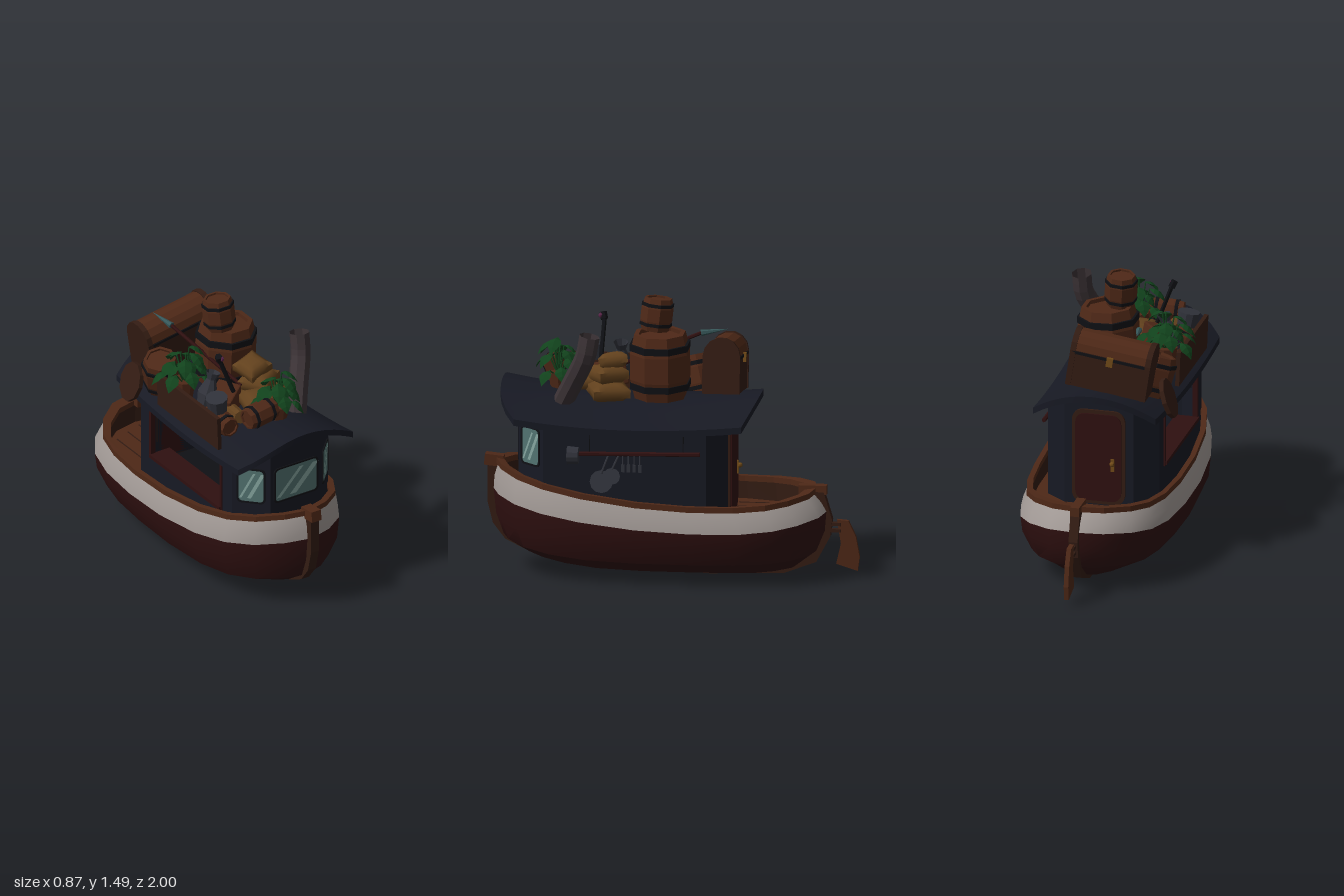
import * as THREE from 'three';
import { toCreasedNormals } from 'three/addons/utils/BufferGeometryUtils.js';
import { RoundedBoxGeometry } from 'three/addons/geometries/RoundedBoxGeometry.js';

const C = { navy: 0x171923, dark: 0x0f1014, red: 0x2f1010, white: 0xa09894, wood: 0x4e2817, brown: 0x331c13, glass: 0x527370,
  shine: 0x86a6a0, leaf: 0x11421c, sack: 0x62411d, iron: 0x30323a, pipe: 0x3c3336, gold: 0x704a18, teal: 0x365658, pink: 0x5a2448 };
const V = (x, y, z) => new THREE.Vector3(x, y, z);

function add(parent, name, geo, color, pos = [0, 0, 0], rot = [0, 0, 0], flat = true) {
  const m = new THREE.Mesh(geo, new THREE.MeshStandardMaterial({ color, flatShading: flat, side: THREE.DoubleSide }));
  m.name = name;
  m.position.set(...pos);
  m.rotation.set(...rot);
  parent.add(m);
  return m;
}
function group(parent, name, pos = [0, 0, 0], rot = [0, 0, 0]) {
  const g = new THREE.Group();
  g.name = name;
  g.position.set(...pos);
  g.rotation.set(...rot);
  parent.add(g);
  return g;
}
// skin over a list of equally long rings of points
function loft(rings, closed = true, crease = 0.6) {
  const n = rings[0].length, idx = [];
  for (let j = 0; j < rings.length - 1; j++) for (let i = 0; i < (closed ? n : n - 1); i++) {
    const a = j * n + i, b = j * n + (i + 1) % n;
    idx.push(a, b, b + n, a, b + n, a + n);
  }
  const g = new THREE.BufferGeometry().setFromPoints(rings.flat());
  g.setIndex(idx);
  return toCreasedNormals(g, crease);
}
// solid with its outline drawn in (z, y), centred on x
function sideExtrude(parent, name, pts, depth, x, color, hole) {
  const s = new THREE.Shape(pts.map(p => new THREE.Vector2(...p)));
  if (hole) s.holes.push(new THREE.Path(hole.map(p => new THREE.Vector2(...p))));
  return add(parent, name, new THREE.ExtrudeGeometry(s, { depth, bevelEnabled: false }), color, [x + depth / 2, 0, 0], [0, -Math.PI / 2, 0]);
}
function rod(parent, name, a, b, r, color, r2 = r) {
  const d = b.clone().sub(a);
  const m = add(parent, name, new THREE.CylinderGeometry(r2, r, d.length(), 6), color, a.clone().add(b).multiplyScalar(0.5).toArray());
  m.quaternion.setFromUnitVectors(V(0, 1, 0), d.normalize());
  return m;
}
function roundRect(w, h, r, S = THREE.Shape) {
  const s = new S(), x = w / 2, y = h / 2, q = Math.PI / 2;
  s.absarc(x - r, y - r, r, 0, q); s.absarc(r - x, y - r, r, q, 2 * q);
  s.absarc(r - x, r - y, r, 2 * q, 3 * q); s.absarc(x - r, r - y, r, 3 * q, 4 * q);
  return s;
}
const slab = (shape, depth) => new THREE.ExtrudeGeometry(shape, { depth, bevelEnabled: false, curveSegments: 3 });
function framed(parent, name, w, h, pos, rotY) {
  const g = group(parent, name, pos, [0, rotY, 0]), s = roundRect(w + 0.02, h + 0.02, 0.025);
  s.holes.push(roundRect(w, h, 0.02, THREE.Path));
  add(g, 'windowFrame', slab(s, 0.007), C.dark);
  add(g, 'glass', slab(roundRect(w, h, 0.02), 0.004), C.glass);
  for (const [x, t] of [[-0.2, 0.1], [0.12, 0.16]]) {
    const k = w * 0.28, sh = new THREE.Shape([[x * w - k, -h * 0.4], [x * w - k + t * w, -h * 0.4], [x * w + k + t * w, h * 0.4], [x * w + k, h * 0.4]]
      .map(p => new THREE.Vector2(...p)));
    add(g, 'glassShine', new THREE.ShapeGeometry(sh), C.shine, [0, 0, 0.006]);
  }
}
function barrel(parent, name, r, h, pos, rot) {
  const g = group(parent, name, pos, rot), q = r * 0.82, P = (x, y) => new THREE.Vector2(x, y);
  add(g, 'staves', new THREE.LatheGeometry([P(0, -h / 2), P(q, -h / 2), P(r * 0.96, -h / 5), P(r * 0.96, h / 5), P(q, h / 2),
    P(q * 0.82, h / 2), P(q * 0.82, h * 0.44), P(0, h * 0.44)], 8), C.wood);
  for (const y of [-h * 0.3, h * 0.3])
    add(g, 'hoop', new THREE.LatheGeometry([P(q, -h * 0.05), P(r * 0.97, -h * 0.05), P(r * 0.97, h * 0.05), P(q, h * 0.05)], 8), C.dark, [0, y, 0]);
}
function plant(parent, name, pos, spread, n) {
  const g = group(parent, name, pos);
  for (let i = 0; i < n; i++) {
    const len = 0.08 + 0.015 * (i % 3), geo = new THREE.PlaneGeometry(1, 1, 2, 4).translate(0, 0.5, 0), p = geo.attributes.position;
    for (let k = 0; k < p.count; k++) {
      const x = p.getX(k), t = p.getY(k), w = [0.1, 0.8, 1, 0.6, 0][Math.round(t * 4)];
      p.setXYZ(k, x * w * 0.08, 0.025 * t - 0.1 * t * t - Math.abs(x) * w * 0.03, t * len * (1 - 0.2 * t));
    }
    const a = i * 2.4, R = spread * (0.2 + 0.8 * ((i * 5) % n) / n), y = 0.03 + 0.15 * (1 - R / spread) + 0.04 * (i % 3);
    const at = V(Math.sin(a) * R, y, Math.cos(a) * R);
    rod(g, 'stem', V(0, 0, 0), at, 0.004, C.leaf);
    add(g, 'leaf', geo, C.leaf, at.toArray(), [0, a, 0]);
  }
  add(g, 'plantPot', new THREE.CylinderGeometry(0.06, 0.045, 0.1, 8), C.wood, [0, -0.02, 0]);
}
function sack(parent, w, h, d, pos, rot) {
  const geo = new THREE.BoxGeometry(1, 1, 1, 6, 2, 6), p = geo.attributes.position;
  for (let k = 0; k < p.count; k++) {
    const x = p.getX(k) * 2, z = p.getZ(k) * 2;
    p.setXYZ(k, x * w / 2 * (0.96 + 0.04 * z * z), p.getY(k) * h * (1 - 0.55 * Math.max(x ** 4, z ** 4)), z * d / 2 * (0.96 + 0.04 * x * x));
  }
  add(parent, 'sack', toCreasedNormals(geo, 1), C.sack, pos, rot, false);
}

// heights along the boat
const bow = (z, f, b) => z > -0.3 ? f * ((z + 0.3) / 1.25) ** 2 : b * ((z + 0.3) / 0.52) ** 2;
const rimY = z => 0.415 + bow(z, 0.155, 0.045), bandY = z => 0.305 + bow(z, 0.125, 0.05);
const ridge = z => 0.965 + (z > 0.1 ? 0.075 * ((z - 0.1) / 0.8) ** 2 : 0.03 * ((z - 0.1) / 0.58) ** 2);
const roofY = (x, z) => ridge(z) - 0.13 * (x / 0.36) ** 2;

function buildHull(boat) {
  const half = [[0, 0.96], [0.14, 0.91], [0.27, 0.81], [0.36, 0.66], [0.41, 0.45], [0.433, 0.15], [0.428, -0.15], [0.405, -0.4],
    [0.36, -0.58], [0.28, -0.7], [0.15, -0.8], [0, -0.83]];
  const plan = [...half, ...half.slice(1, -1).reverse().map(([x, z]) => [-x, z])];
  // scales: width, towards the bow, towards the stern
  const ring = (sx, sb, ss, y) => plan.map(([x, z]) => { const zz = 0.06 + (z - 0.06) * (z > 0.06 ? sb : ss); return V(x * sx, y(zz), zz); });
  const low = (y, k) => z => y + k * Math.max(0, Math.abs(z + 0.1) - 0.3) ** 2;
  add(boat, 'lowerHull', loft([ring(0, 0.72, 0.72, low(0.02, 0.22)), ring(0.47, 0.82, 0.82, low(0.045, 0.18)), ring(0.86, 0.94, 0.94, low(0.125, 0.12)),
    ring(0.975, 0.985, 0.99, low(0.23, 0.12)), ring(1, 1, 1, bandY)]), C.red, undefined, undefined, false);
  add(boat, 'whiteBand', loft([ring(1, 1, 1, bandY), ring(0.975, 0.995, 0.97, z => (rimY(z) + bandY(z)) / 2), ring(0.92, 0.975, 0.925, rimY)]), C.white, undefined, undefined, false);
  const up = z => rimY(z) + 0.03, outerRim = [0.935, 0.985, 0.935], innerRim = [0.87, 0.935, 0.87];
  add(boat, 'gunwale', loft([ring(...innerRim, rimY), ring(...outerRim, rimY), ring(...outerRim, up), ring(...innerRim, up), ring(...innerRim, rimY)]), C.wood);
  const floor = () => 0.32;
  add(boat, 'innerHull', loft([ring(0.89, 0.95, 0.9, floor), ring(0.89, 0.95, 0.89, rimY)]), C.brown);
  add(boat, 'deck', loft([ring(0.89, 0.95, 0.9, floor), ring(0, 0, 0, floor)]), C.wood);
  for (let i = -3; i <= 3; i++) add(boat, 'plankSeam', new THREE.BoxGeometry(0.006, 0.006, 0.38 - Math.abs(i) * 0.03), C.brown, [i * 0.09, 0.32, -0.51 + Math.abs(i) * 0.015]);
  // stem, keel and stern post in one curved timber
  const outer = [[0.985, 0.58], [0.985, 0.36], [0.955, 0.24], [0.89, 0.155], [0.78, 0.1], [0.6, 0.065], [0.25, 0.025], [-0.2, 0], [-0.6, 0.015], [-0.77, 0.08], [-0.845, 0.22], [-0.855, 0.31], [-0.81, 0.46]];
  sideExtrude(boat, 'keel', [...outer, ...outer.map(([z, y]) => [0.06 + (z - 0.06) * 0.93, y + (y < 0.25 ? 0.045 : 0)]).reverse()], 0.05, 0, C.brown);
  add(boat, 'stemHead', new THREE.BoxGeometry(0.06, 0.06, 0.1), C.wood, [0, 0.58, 0.95], [-0.1, 0, 0]);
  add(boat, 'tiller', new THREE.BoxGeometry(0.05, 0.05, 0.15), C.wood, [0, 0.47, -0.75]);
  sideExtrude(boat, 'rudder', [[-0.88, 0.31], [-0.94, 0.305], [-0.98, 0.22], [-1, 0.11], [-0.99, 0.035], [-0.875, 0.07], [-0.9, 0.18]], 0.025, 0, C.wood);
  for (const y of [0.25, 0.285]) add(boat, 'rudderHinge', new THREE.BoxGeometry(0.03, 0.018, 0.06), C.brown, [0, y, -0.87]);
}

function buildCabin(boat) {
  const half = [[0, 0.8], [0.08, 0.8], [0.16, 0.8], [0.305, 0.65], [0.305, 0.2], [0.305, -0.22], [0.19, -0.315], [0.1, -0.315], [0, -0.315]];
  const neg = half.map(([x, z]) => [-x, z]);
  const path = [...neg.slice(1, 4).reverse(), ...half, ...neg.slice(5, 8).reverse()];
  add(boat, 'cabinWalls', loft([path.map(([x, z]) => V(x, 0.31, z)), path.map(([x, z]) => V(x, roofY(x, z) - 0.015, z))], false, 0.2), C.navy);
  // market side with a hatch and a counter
  const top = z => [z, roofY(0.305, z) - 0.015];
  sideExtrude(boat, 'hatchWall', [[-0.22, 0.31], [0.65, 0.31], top(0.65), top(0.2), top(-0.22)], 0.02, -0.295, C.navy,
    [[-0.12, 0.51], [-0.12, 0.82], [0.55, 0.82], [0.55, 0.51]]);
  sideExtrude(boat, 'hatchFrame', [[-0.13, 0.5], [0.56, 0.5], [0.56, 0.83], [-0.13, 0.83]], 0.03, -0.298, C.red,
    [[-0.115, 0.515], [-0.115, 0.815], [0.545, 0.815], [0.545, 0.515]]);
  add(boat, 'counter', new THREE.BoxGeometry(0.13, 0.02, 0.67), C.red, [-0.255, 0.515, 0.215]);
  add(boat, 'cabinFloor', new THREE.BoxGeometry(0.58, 0.02, 0.84), C.dark, [0, 0.4, 0.21]);
  framed(boat, 'frontWindow', 0.26, 0.19, [0, 0.715, 0.8], 0);
  for (const s of [-1, 1]) framed(boat, 'cornerWindow', 0.135, 0.19, [s * 0.2325, 0.715, 0.725], s * 0.802);
  // back door
  const door = group(boat, 'door', [0, 0.595, -0.315], [0, Math.PI, 0]);
  add(door, 'doorFrame', slab(roundRect(0.29, 0.53, 0.06), 0.012), C.brown);
  add(door, 'doorPanel', slab(roundRect(0.25, 0.49, 0.05), 0.02), C.red);
  add(door, 'handlePlate', new THREE.BoxGeometry(0.02, 0.07, 0.01), C.gold, [0.08, -0.035, 0.022]);
  add(door, 'doorKnob', new THREE.SphereGeometry(0.014, 8, 6), C.gold, [0.08, -0.025, 0.035]);
  // arched roof
  const rings = [], N = 12, M = 10;
  for (let j = 0; j <= M; j++) {
    const up = [], down = [], t = j / M;
    for (let i = 0; i <= N; i++) {
      const u = -1 + 2 * i / N, z = THREE.MathUtils.lerp(0.9 - 0.1 * u ** 4, -0.48 + 0.07 * u * u, t);
      const x = u * THREE.MathUtils.lerp(0.365, 0.335, t), y = roofY(x, z);
      up.push(V(x, y, z));
      down.unshift(V(x, y - 0.035, z));
    }
    rings.push([...up, ...down]);
  }
  const cap = r => r.map((p, i) => p.clone().lerp(r[r.length - 1 - i], 0.5));
  add(boat, 'roof', loft([cap(rings[0]), ...rings, cap(rings[M])]), C.navy, undefined, undefined, false);
  // bent chimney
  const bend = new THREE.CatmullRomCurve3([V(0.165, 0.95, 0.56), V(0.215, 1.07, 0.5), V(0.26, 1.17, 0.45), V(0.28, 1.23, 0.425), V(0.285, 1.335, 0.405)]);
  add(boat, 'chimney', new THREE.TubeGeometry(bend, 10, 0.055, 8), C.pipe);
}

function buildKitchenRack(boat) {
  const g = group(boat, 'panRack');
  rod(g, 'rackPole', V(0.335, 0.705, 0.5), V(0.335, 0.72, -0.19), 0.012, C.red);
  for (const z of [0.4, -0.1]) rod(g, 'rackCord', V(0.335, 0.71, z), V(0.315, 0.85, z), 0.003, C.dark);
  add(g, 'saucepan', new THREE.CylinderGeometry(0.05, 0.045, 0.06, 12), C.iron, [0.35, 0.7, 0.485], [Math.PI / 2, 0, 0]);
  for (const [r, y, z] of [[0.062, 0.56, 0.335], [0.045, 0.59, 0.28]]) {
    add(g, 'fryingPan', new THREE.CylinderGeometry(r, r * 0.85, 0.03, 12), C.iron, [0.355, y, z], [-0.5, 0, -1.1]);
    rod(g, 'fryingPanHandle', V(0.35, y + r * 0.7, z), V(0.335, 0.71, z - 0.04), 0.006, C.iron);
  }
  for (let i = 0; i < 4; i++) {
    const z = 0.22 - i * 0.03;
    rod(g, 'utensilHandle', V(0.34, 0.71, z), V(0.34, 0.65, z), 0.004, C.iron);
    add(g, 'utensilHead', new THREE.BoxGeometry(0.012, 0.04, 0.018), C.iron, [0.34, 0.635, z]);
  }
}

function buildCargo(boat) {
  const g = group(boat, 'roofCargo');
  barrel(g, 'largeBarrel', 0.172, 0.35, [0.045, 1.135, 0.06], [0.02, 0.39, -0.04]);
  barrel(g, 'smallBarrel', 0.09, 0.175, [-0.015, 1.395, 0.085], [-0.12, 0.3, 0.06]);
  barrel(g, 'leaningBarrel', 0.105, 0.22, [-0.25, 1.01, -0.11], [0.2, 0.2, 0.25]);
  barrel(g, 'lyingBarrel', 0.068, 0.18, [-0.12, 1.08, 0.64], [0, 0.1, Math.PI / 2 + 0.08]);
  barrel(g, 'keg', 0.062, 0.2, [-0.26, 1.0, 0.47], [Math.PI / 2, 0, 0]);
  // treasure chest
  const chest = group(g, 'chest', [-0.06, 1.08, -0.275], [0, 0.02, 0.15]);
  add(chest, 'chestBase', new THREE.BoxGeometry(0.43, 0.2, 0.19), C.brown);
  add(chest, 'chestLid', new THREE.CylinderGeometry(0.094, 0.094, 0.43, 14), C.wood, [0, 0.1, 0], [0, 0, Math.PI / 2]);
  for (const x of [-0.205, 0.205]) {
    add(chest, 'lidBand', new THREE.CylinderGeometry(0.1, 0.1, 0.03, 14), C.brown, [x, 0.1, 0], [0, 0, Math.PI / 2]);
    add(chest, 'baseBand', new THREE.BoxGeometry(0.03, 0.2, 0.2), C.brown, [x, 0, 0]);
  }
  add(chest, 'lidSeam', new THREE.BoxGeometry(0.435, 0.015, 0.2), C.dark, [0, 0.09, 0]);
  add(chest, 'latch', new THREE.BoxGeometry(0.035, 0.05, 0.02), C.gold, [0, 0.08, -0.1]);
  // blank board over the hatch and a round lid on the eave
  add(g, 'signBoard', new THREE.BoxGeometry(0.022, 0.19, 0.58), C.brown, [-0.345, 1.0, 0.3], [0, 0, 0.04]);
  const lid = add(g, 'roundLid', new THREE.CylinderGeometry(0.085, 0.085, 0.025, 10), C.brown, [-0.358, 0.93, -0.23], [0, 0, 1.25]);
  lid.scale.x = 1.3;
  add(g, 'crate', new RoundedBoxGeometry(0.15, 0.14, 0.13, 1, 0.008), C.wood, [-0.15, 1.03, 0.35], [0.1, 0.6, 0.2]);
  sack(g, 0.2, 0.1, 0.2, [0.1, 1.0, 0.33], [0, 0.35, -0.06]);
  sack(g, 0.18, 0.1, 0.18, [-0.01, 1.03, 0.46], [0.1, -0.2, 0]);
  sack(g, 0.18, 0.1, 0.17, [0.07, 1.08, 0.34], [0, 0.6, 0.05]);
  sack(g, 0.15, 0.09, 0.15, [0.05, 1.15, 0.31], [0.15, 0.2, 0.2]);
  add(g, 'bucket', new THREE.CylinderGeometry(0.06, 0.052, 0.08, 10), C.iron, [-0.28, 1.11, 0.47], [0.1, 0, 0.15]);
  add(g, 'smallKeg', new THREE.CylinderGeometry(0.035, 0.035, 0.13, 8), C.sack, [-0.18, 1.03, 0.5], [1.4, 0, 0.2]);
  add(g, 'vase', new THREE.LatheGeometry([[0, 0], [0.04, 0], [0.055, 0.08], [0.025, 0.16], [0.04, 0.2]].map(p => new THREE.Vector2(...p)), 8), C.iron, [-0.25, 1.0, 0.3], [0, 0, -0.3]);
  // spear and a tall stick
  rod(g, 'spearShaft', V(-0.04, 1.08, 0.34), V(-0.17, 1.26, -0.13), 0.01, C.red);
  rod(g, 'spearTip', V(-0.17, 1.26, -0.13), V(-0.195, 1.28, -0.27), 0.018, C.teal, 0.001);
  rod(g, 'stick', V(-0.13, 1.1, 0.4), V(-0.21, 1.31, 0.39), 0.012, C.dark);
  rod(g, 'stickCap', V(-0.21, 1.31, 0.39), V(-0.225, 1.345, 0.4), 0.02, C.dark);
  add(g, 'stickFlower', new THREE.SphereGeometry(0.014, 6, 5), C.pink, [-0.21, 1.33, 0.41]);
  // potted plants
  plant(g, 'sidePlant', [-0.255, 1.05, 0.12], 0.105, 18);
  plant(g, 'frontPlant', [0.02, 1.04, 0.6], 0.085, 18);
}

export function createModel() {
  const boat = new THREE.Group();
  boat.name = 'tradingBoat';
  buildHull(boat);
  buildCabin(boat);
  buildKitchenRack(boat);
  buildCargo(boat);
  return boat;
}
